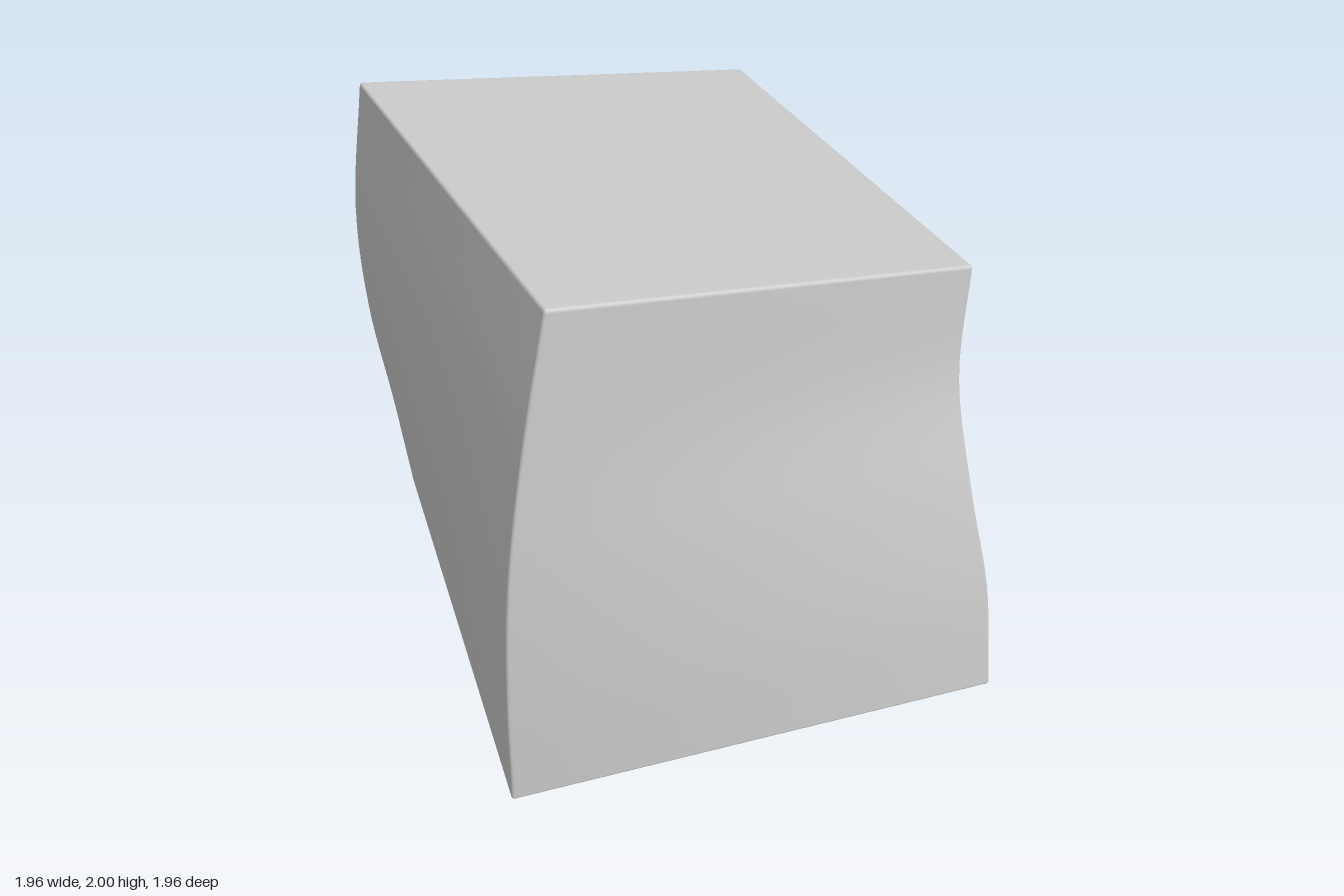
import * as THREE from 'three';
import { mergeVertices } from 'three/addons/utils/BufferGeometryUtils.js';

// The four upright edges of the twisted block, each from the ground to the sloped top
const edge = (...pts) => new THREE.CatmullRomCurve3(pts.map((p) => new THREE.Vector3(...p)));
const frontLeft = edge([-0.98, 0, 0.82], [-0.975, 0.5, 0.84], [-0.945, 1, 0.85], [-0.87, 1.5, 0.845], [-0.77, 2, 0.835]);
const frontRight = edge([0.82, 0, 0.98], [0.79, 0.45, 0.93], [0.73, 0.85, 0.85], [0.695, 1.28, 0.745], [0.72, 1.7, 0.71]);
const backRight = edge([0.98, 0, -0.82], [0.89, 0.45, -0.845], [0.735, 0.85, -0.865], [0.62, 1.28, -0.86], [0.6, 1.7, -0.855]);
const backLeft = edge([-0.82, 0, -0.98], [-0.875, 0.5, -0.935], [-0.94, 1, -0.86], [-0.96, 1.5, -0.77], [-0.9, 2, -0.73]);

const SEGMENTS = 30, BEVEL_STEPS = 3, RADIUS = 0.014;

// Squeeze the outer grid rows into the bevel and spread the rest evenly
function gridCoord(v) {
  const k = Math.round(((v + 1) / 2) * SEGMENTS);
  const inner = 1 - RADIUS;
  if (k <= BEVEL_STEPS) return -1 + (RADIUS * k) / BEVEL_STEPS;
  if (k >= SEGMENTS - BEVEL_STEPS) return 1 - (RADIUS * (SEGMENTS - k)) / BEVEL_STEPS;
  return -inner + (2 * inner * (k - BEVEL_STEPS)) / (SEGMENTS - 2 * BEVEL_STEPS);
}

// Blend the four edge curves at one point of the unit cube
function warp(p) {
  const u = (p.x + 1) / 2, t = (p.y + 1) / 2, w = (p.z + 1) / 2;
  const front = frontLeft.getPoint(t).lerp(frontRight.getPoint(t), u);
  const back = backLeft.getPoint(t).lerp(backRight.getPoint(t), u);
  return back.lerp(front, w);
}

export function createModel() {
  let geometry = new THREE.BoxGeometry(2, 2, 2, SEGMENTS, SEGMENTS, SEGMENTS);
  const pos = geometry.attributes.position;
  const p = new THREE.Vector3(), core = new THREE.Vector3();
  for (let i = 0; i < pos.count; i++) {
    p.fromBufferAttribute(pos, i);
    p.set(gridCoord(p.x), gridCoord(p.y), gridCoord(p.z));
    // Round the edges of the cube, then bend it into shape
    core.copy(p).clampScalar(-1 + RADIUS, 1 - RADIUS);
    p.sub(core).setLength(RADIUS).add(core);
    const q = warp(p);
    pos.setXYZ(i, q.x, q.y, q.z);
  }
  // Weld the six sides so the bevels shade smoothly
  geometry.deleteAttribute('uv');
  geometry.deleteAttribute('normal');
  geometry = mergeVertices(geometry, 1e-5);
  geometry.computeVertexNormals();

  const block = new THREE.Mesh(geometry, new THREE.MeshStandardMaterial({ color: 0xcccccc }));
  block.name = 'twistedBlock';
  const group = new THREE.Group();
  group.name = 'model';
  group.add(block);
  return group;
}
